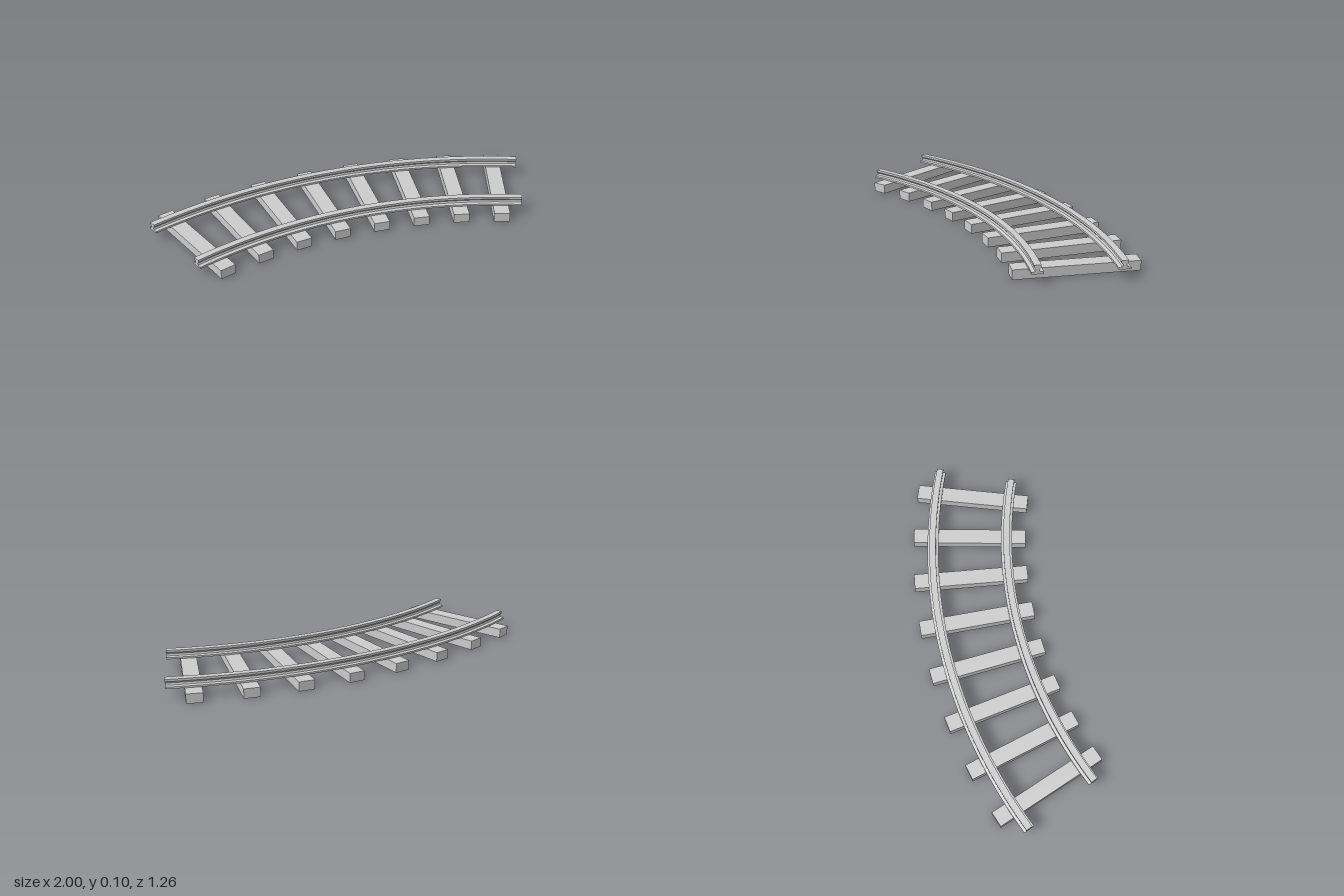
import * as THREE from 'three';
import { toCreasedNormals } from 'three/addons/utils/BufferGeometryUtils.js';

const SWEEP = Math.PI / 4;               // the curve turns through 45 degrees
const OUTER = 2.795, INNER = 2.374;      // rail centre radii
const SLEEPERS = 8, SLEEPER_H = 0.052;

// Right half of the rail section: foot, pinched web, head
const HALF = [
  [0.031, 0.052], [0.031, 0.062], [0.012, 0.065], [0.008, 0.075],
  [0.018, 0.086], [0.018, 0.098],
];
const SECTION = [...HALF, ...HALF.map(([x, y]) => [-x, y]).reverse()];

export function createModel() {
  const track = new THREE.Group();
  track.name = 'curvedTrack';
  const grey = new THREE.MeshStandardMaterial({ color: 0xcccccc });
  grey.name = 'light grey';

  // Everything is laid out around the centre of the curve
  const curve = new THREE.Group();
  curve.name = 'curve';
  curve.position.set(-1, 0, 2.272);
  track.add(curve);

  const add = (parent, name, geometry) => {
    const mesh = new THREE.Mesh(geometry, grey);
    mesh.name = name;
    parent.add(mesh);
    return mesh;
  };

  // Rails: the section swept round the curve, with a cap on each end
  const addRail = (name, radius) => {
    const rail = new THREE.Group();
    rail.name = name;
    curve.add(rail);
    const points = SECTION.map(([x, y]) => new THREE.Vector2(radius + x, y));
    const sweep = new THREE.LatheGeometry([...points, points[0].clone()], 40, Math.PI - SWEEP, SWEEP);
    add(rail, name + 'Body', toCreasedNormals(sweep, 0.2));

    const endCap = add(rail, name + 'EndCap', new THREE.ShapeGeometry(new THREE.Shape(points)));
    endCap.rotation.y = Math.PI / 2 - SWEEP;
    const flipped = points.map((p) => new THREE.Vector2(-p.x, p.y));
    const startCap = add(rail, name + 'StartCap', new THREE.ShapeGeometry(new THREE.Shape(flipped)));
    startCap.rotation.y = -Math.PI / 2;
  };
  addRail('outerRail', OUTER);
  addRail('innerRail', INNER);

  // Sleepers: evenly spaced, each pointing at the curve's centre
  const sleeperGeometry = new THREE.BoxGeometry(0.086, SLEEPER_H, 0.642);
  const middle = (OUTER + INNER) / 2;
  for (let i = 0; i < SLEEPERS; i++) {
    const angle = ((i + 0.5) / SLEEPERS) * SWEEP;
    const sleeper = add(curve, 'sleeper' + (i + 1), sleeperGeometry);
    sleeper.position.set(middle * Math.sin(angle), SLEEPER_H / 2, -middle * Math.cos(angle));
    sleeper.rotation.y = -angle;
  }
  return track;
}
